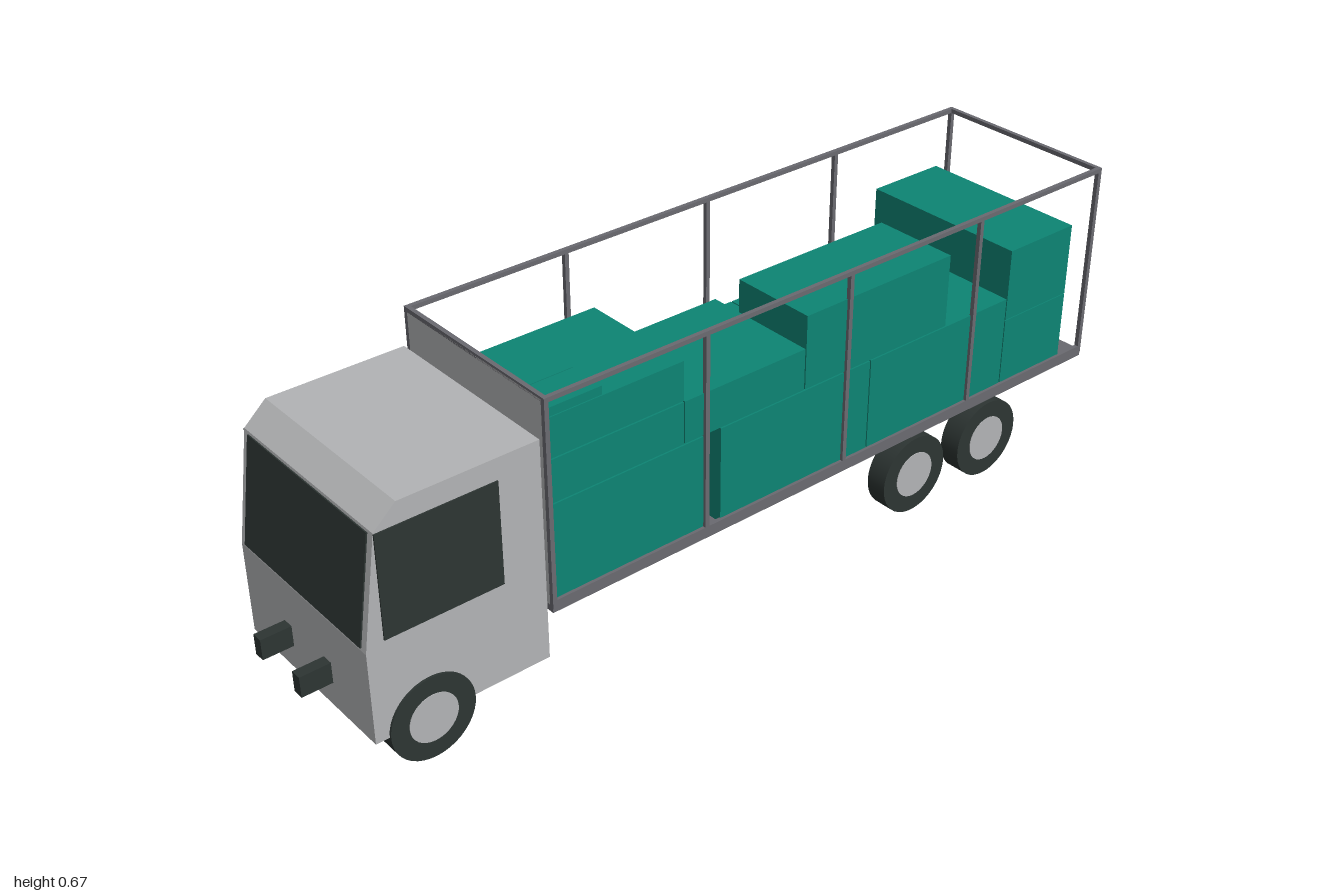
import * as THREE from 'three';

export function createModel() {
  const truck = new THREE.Group();
  truck.name = 'flatbedTruck';

  const mat = (name, color) => {
    const m = new THREE.MeshStandardMaterial({ color });
    m.name = name;
    return m;
  };
  const paint = mat('lightGreyPaint', 0xb3b4b6);
  const dark = mat('darkRubberAndGlass', 0x2d3533);
  const steel = mat('bedSteel', 0x6a6a70);
  const teal = mat('tealCargo', 0x0d8574);

  const add = (parent, name, geometry, material) => {
    const mesh = new THREE.Mesh(geometry, material);
    mesh.name = name;
    parent.add(mesh);
    return mesh;
  };
  // Box given by its limits on each axis
  const block = (parent, name, material, [x0, x1], [y0, y1], [z0, z1]) => {
    const mesh = add(parent, name, new THREE.BoxGeometry(x1 - x0, y1 - y0, z1 - z0), material);
    mesh.position.set((x0 + x1) / 2, (y0 + y1) / 2, (z0 + z1) / 2);
    return mesh;
  };
  const group = (name) => {
    const g = new THREE.Group();
    g.name = name;
    truck.add(g);
    return g;
  };

  // Cab: side profile extruded across the width
  const cab = group('cab');
  const profile = new THREE.Shape([
    [-0.933, 0.093], [-0.54, 0.093], [-0.54, 0.59], [-0.845, 0.59], [-0.895, 0.545], [-0.933, 0.3],
  ].map(([x, y]) => new THREE.Vector2(x, y)));
  const shell = new THREE.ExtrudeGeometry(profile, { depth: 0.444, bevelEnabled: false });
  shell.translate(0, 0, -0.222);
  add(cab, 'cabShell', shell, paint);
  for (const s of [-1, 1]) {
    block(cab, 'sideWindow', dark, [-0.895, -0.635], [0.315, 0.543], [s * 0.223 - 0.002, s * 0.223 + 0.002]);
  }
  const windscreen = add(cab, 'windscreen', new THREE.BoxGeometry(0.006, 0.236, 0.412), dark);
  windscreen.position.set(-0.914, 0.4225, 0);
  windscreen.rotation.z = -Math.atan2(0.038, 0.245);

  // Chassis rails run the whole length
  const chassis = group('chassis');
  for (const z of [-0.07, 0.072]) {
    block(chassis, 'chassisRail', dark, [-1, 0.985], [0.151, 0.198], [z - 0.0125, z + 0.0125]);
  }

  // Wheels with pale hub discs on the outside
  const wheels = group('wheels');
  for (const x of [-0.81, 0.457, 0.69]) {
    for (const s of [-1, 1]) {
      const tyre = add(wheels, 'tyre', new THREE.CylinderGeometry(0.0935, 0.0935, 0.05, 40), dark);
      tyre.rotation.x = Math.PI / 2;
      tyre.position.set(x, 0.0935, s * 0.202);
      const hub = add(wheels, 'hub', new THREE.CylinderGeometry(0.054, 0.054, 0.004, 32), paint);
      hub.rotation.x = Math.PI / 2;
      hub.position.set(x, 0.0935, s * 0.2265);
    }
  }

  // Load bed, headboard and open frame
  const bed = group('loadBed');
  block(bed, 'bedFloor', steel, [-0.53, 1], [0.196, 0.211], [-0.226, 0.226]);
  block(bed, 'headboard', paint, [-0.53, -0.522], [0.211, 0.668], [-0.219, 0.219]);
  for (const s of [-1, 1]) {
    const z = [s * 0.222 - 0.005, s * 0.222 + 0.005];
    block(bed, 'sideCurb', steel, [-0.53, 1], [0.205, 0.223], z);
    block(bed, 'topRail', steel, [-0.53, 1], [0.663, 0.673], z);
    for (let i = 0; i < 5; i++) {
      const x = -0.525 + i * 0.38;
      block(bed, 'framePost', steel, [x - 0.005, x + 0.005], [0.211, 0.668], z);
    }
  }
  for (const x of [-0.525, 0.995]) {
    block(bed, 'crossRail', steel, [x - 0.005, x + 0.005], [0.663, 0.673], [-0.222, 0.222]);
  }

  // Cargo: x, y and z limits of each crate, with small gaps between them
  const cargo = group('cargo');
  const main = [-0.056, 0.22];
  const low = [0.212, 0.436];
  const crates = [
    [[0.728, 0.926], [0.212, 0.381], [-0.196, 0.22]],
    [[0.728, 0.926], [0.383, 0.553], [-0.196, 0.22]],
    [[0.308, 0.725], low, main],
    [[-0.105, 0.305], low, main],
    [[-0.52, -0.15], low, main],
    [[-0.52, -0.2], [0.439, 0.534], main],
    [[-0.52, -0.2], [0.537, 0.625], main],
    [[-0.197, 0.117], [0.439, 0.534], main],
    [[0.12, 0.53], [0.439, 0.608], [0.015, 0.22]],
    [[-0.52, -0.395], [0.627, 0.646], [0.134, 0.22]],
    [[-0.52, -0.395], [0.627, 0.646], [0.046, 0.132]],
    // flat slabs with small parcels on top
    [[-0.52, -0.088], [0.212, 0.246], [-0.198, -0.06]],
    [[-0.52, -0.088], [0.248, 0.281], [-0.198, -0.06]],
    [[-0.52, -0.371], [0.283, 0.38], [-0.138, -0.06]],
    [[-0.369, -0.222], [0.283, 0.345], [-0.138, -0.06]],
    [[-0.52, -0.459], [0.283, 0.345], [-0.186, -0.14]],
    [[-0.457, -0.396], [0.283, 0.34], [-0.186, -0.14]],
  ];
  // row of three crates behind the main stack
  for (let i = 0; i < 3; i++) {
    const x = -0.082 + i * 0.158;
    crates.push([[x, x + 0.155], [0.212, 0.455], [-0.136, -0.06]]);
  }
  for (const c of crates) block(cargo, 'crate', teal, ...c);

  return truck;
}
